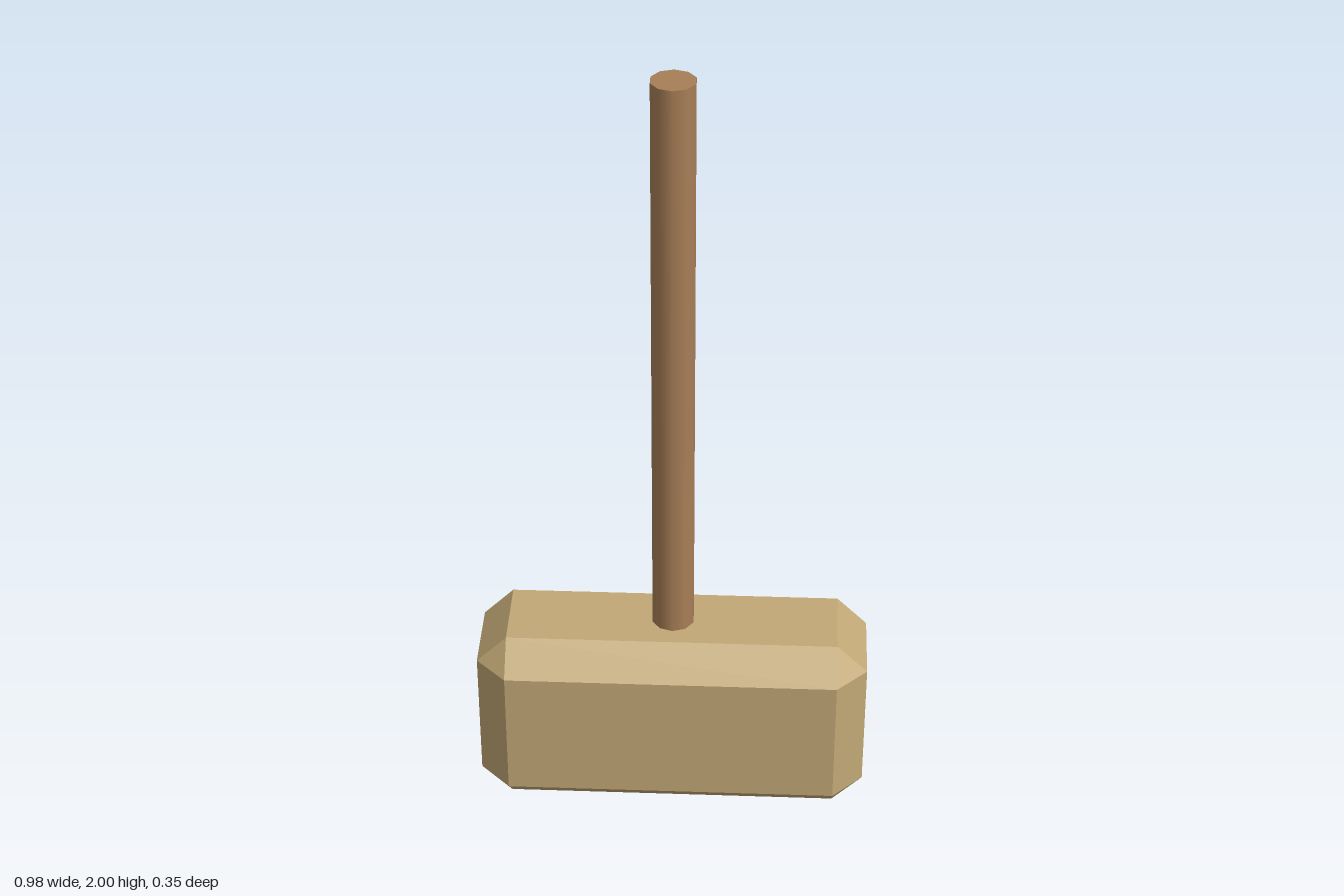
import * as THREE from 'three';
import { ConvexGeometry } from 'three/addons/geometries/ConvexGeometry.js';

// Box with every edge cut at 45 degrees: three points around each corner
function chamferedBox(hx, hy, hz, c) {
  const points = [];
  for (const sx of [-1, 1]) for (const sy of [-1, 1]) for (const sz of [-1, 1]) {
    points.push(
      new THREE.Vector3(sx * hx, sy * (hy - c), sz * (hz - c)),
      new THREE.Vector3(sx * (hx - c), sy * hy, sz * (hz - c)),
      new THREE.Vector3(sx * (hx - c), sy * (hy - c), sz * hz)
    );
  }
  return new ConvexGeometry(points);
}

export function createModel() {
  const model = new THREE.Group();
  model.name = 'hammer';

  const paleWood = new THREE.MeshStandardMaterial({ color: 0xc2a876 });
  paleWood.name = 'pale wood';
  const brownWood = new THREE.MeshStandardMaterial({ color: 0xa87f57 });
  brownWood.name = 'brown wood';

  // Head: chamfered block resting on the ground
  const head = new THREE.Mesh(chamferedBox(0.49, 0.25, 0.175, 0.076), paleWood);
  head.name = 'head';
  head.position.y = 0.25;
  model.add(head);

  // Handle: ten-sided shaft set into the head
  const bottom = 0.4, top = 2;
  const handle = new THREE.Mesh(
    new THREE.CylinderGeometry(0.054, 0.054, top - bottom, 10), brownWood);
  handle.name = 'handle';
  handle.position.y = (top + bottom) / 2;
  model.add(handle);

  return model;
}
